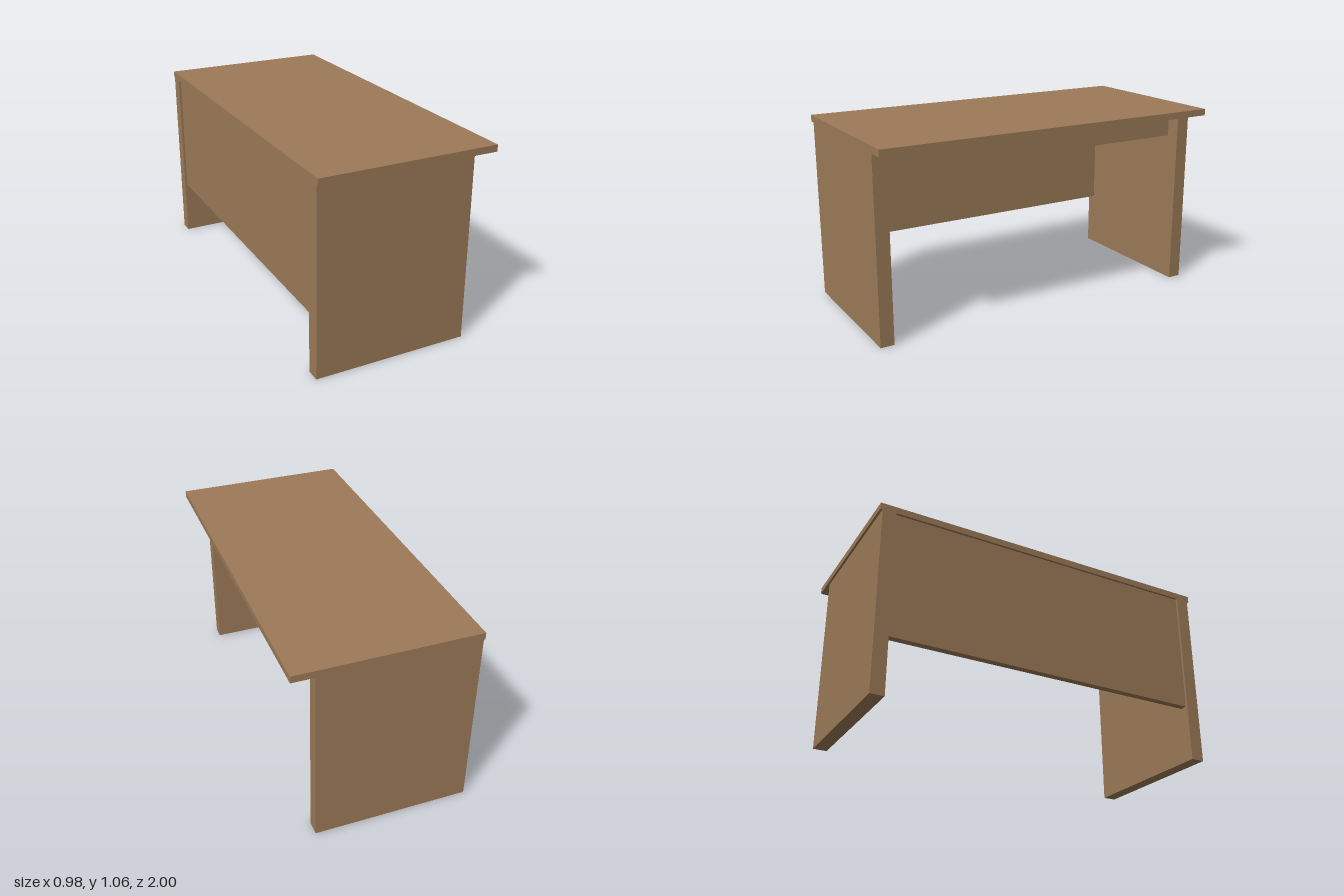
import * as THREE from 'three';

export function createModel() {
  const desk = new THREE.Group();
  desk.name = 'desk';
  const wood = new THREE.MeshStandardMaterial({ color: 0x9c7a58 });
  wood.name = 'brown wood';

  // Box board given by its extents along each axis
  function board(name, [x0, x1], [y0, y1], [z0, z1]) {
    const mesh = new THREE.Mesh(new THREE.BoxGeometry(x1 - x0, y1 - y0, z1 - z0), wood);
    mesh.name = name;
    mesh.position.set((x0 + x1) / 2, (y0 + y1) / 2, (z0 + z1) / 2);
    desk.add(mesh);
  }

  const under = 1.023; // underside of the top
  const inner = 0.912; // inner face of the side panels
  const outer = 0.988;

  board('desktop', [-0.49, 0.49], [under, 1.06], [-1, 1]);

  // Full-depth side panels, set back on the sitting side
  board('frontSidePanel', [-0.49, 0.365], [0, under], [inner, outer]);
  board('backSidePanel', [-0.49, 0.365], [0, under], [-outer, -inner]);

  // Recessed modesty panel and thin apron under the top
  board('modestyPanel', [-0.477, -0.437], [0.32, under], [-inner, inner]);
  board('apron', [0.281, 0.285], [0.877, under], [-inner, inner]);

  return desk;
}
